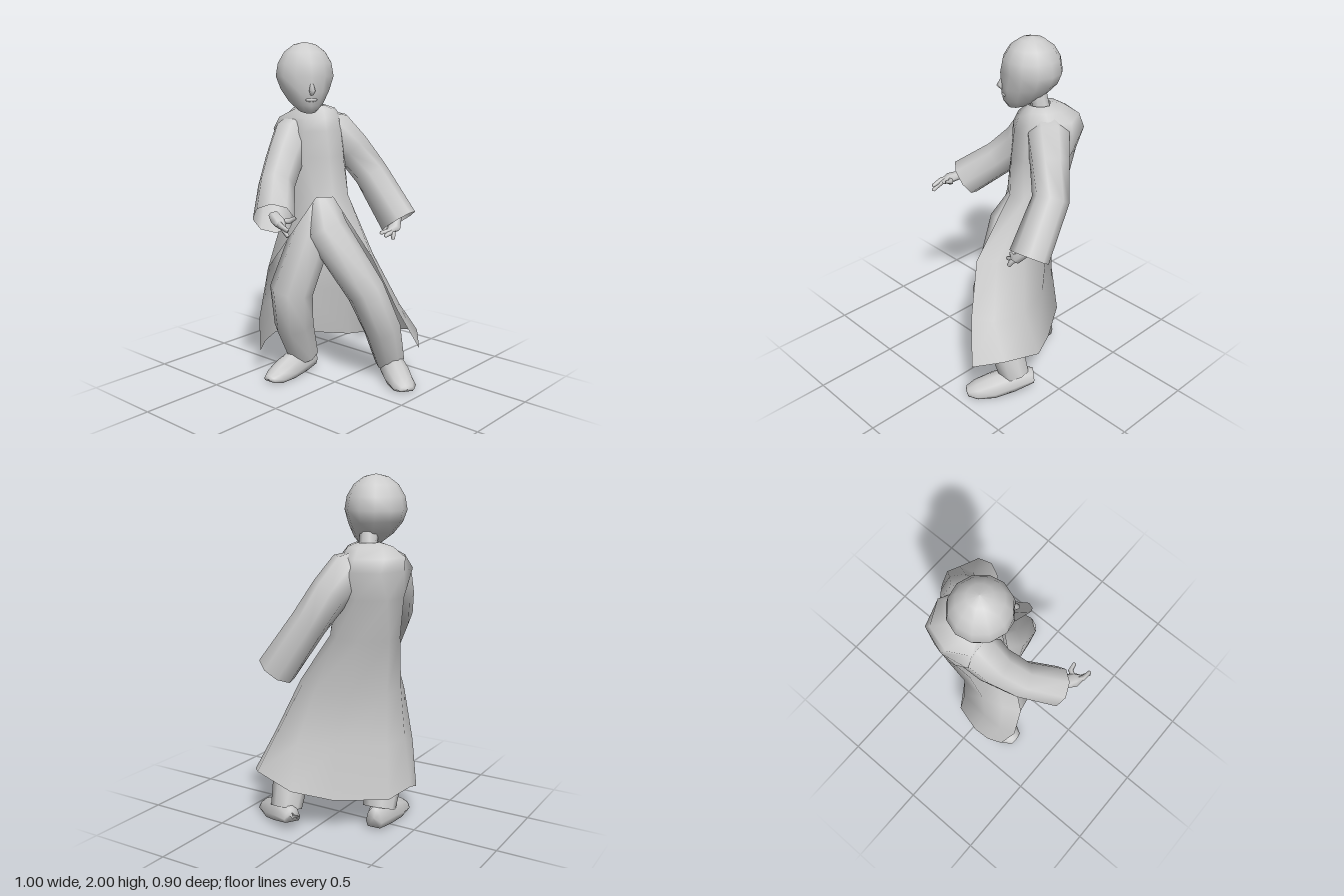
import * as THREE from 'three';

const mat = new THREE.MeshStandardMaterial({ color: 0xcccccc, side: THREE.DoubleSide });
const V = (x, y, z) => new THREE.Vector3(x, y, z);

function mesh(name, geometry) {
  const m = new THREE.Mesh(geometry, mat);
  m.name = name;
  return m;
}

// Skin a list of rings; wraps(row) tells whether a row closes on itself
function loft(name, rings, wraps = () => true) {
  const n = rings[0].length, idx = [];
  for (let r = 0; r < rings.length - 1; r++) {
    for (let c = 0; c < (wraps(r) ? n : n - 1); c++) {
      const a = r * n + c, b = r * n + (c + 1) % n;
      idx.push(a, b, b + n, a, b + n, a + n);
    }
  }
  const g = new THREE.BufferGeometry().setFromPoints(rings.flat());
  g.setIndex(idx);
  g.computeVertexNormals();
  return mesh(name, g);
}

// Tapered tube through stations [x, y, z, radius]
function limb(name, stations, sides = 8, flat = 1) {
  const pts = stations.map(([x, y, z]) => V(x, y, z));
  const whole = pts[pts.length - 1].clone().sub(pts[0]).normalize();
  const ref = Math.abs(whole.y) > 0.6 ? V(0.57, 0, 0.82) : V(0, 1, 0);
  const rings = stations.map((s, i) => {
    const t = pts[Math.min(i + 1, pts.length - 1)].clone().sub(pts[Math.max(i - 1, 0)]).normalize();
    const u = V(0, 0, 0).crossVectors(t, ref).normalize();
    const w = V(0, 0, 0).crossVectors(u, t);
    return Array.from({ length: sides }, (_, k) => {
      const a = (k / sides) * Math.PI * 2;
      return pts[i].clone()
        .addScaledVector(u, Math.cos(a) * s[3])
        .addScaledVector(w, Math.sin(a) * s[3] * flat);
    });
  });
  return loft(name, rings);
}

// Long coat: each row runs from the left front edge round the back to the right front edge
function coat() {
  const skirt = [
    [[0.23, 0.45], [0.37, 0.33], [0.4, 0.08], [0.28, -0.13], [0.11, -0.39], [-0.06, -0.44], [-0.16, -0.43], [-0.24, -0.39]],
    [[0.13, 0.36], [0.24, 0.29], [0.3, 0.1], [0.23, -0.12], [0.08, -0.36], [-0.1, -0.38], [-0.22, -0.37], [-0.3, -0.33]],
    [[0.05, 0.24], [0.14, 0.17], [0.22, 0.03], [0.2, -0.18], [0.07, -0.35], [-0.08, -0.36], [-0.2, -0.32], [-0.29, -0.26]],
  ];
  const skirtY = [
    [0.26, 0.31, 0.25, 0.2, 0.2, 0.23, 0.2, 0.17],
    [0.5, 0.5, 0.5, 0.5, 0.5, 0.5, 0.46, 0.4],
    [0.8, 0.8, 0.8, 0.8, 0.8, 0.8, 0.77, 0.72],
  ];
  const torso = [
    [1.12, [[0.03, -0.04], [0.15, -0.03], [0.22, -0.11], [0.24, -0.26], [0.13, -0.39], [-0.02, -0.38], [-0.1, -0.27], [-0.05, -0.1]]],
    [1.35, [[0.02, -0.06], [0.13, -0.05], [0.22, -0.12], [0.27, -0.26], [0.19, -0.41], [0.03, -0.425], [-0.08, -0.35], [-0.08, -0.16]]],
    [1.5, [[0.02, -0.08], [0.13, -0.07], [0.23, -0.13], [0.3, -0.25], [0.25, -0.4], [0.09, -0.455], [-0.06, -0.43], [-0.08, -0.17]]],
    [1.57, [[0.03, -0.1], [0.13, -0.09], [0.22, -0.15], [0.28, -0.26], [0.21, -0.4], [0.06, -0.445], [-0.06, -0.38], [-0.05, -0.18]]],
    [1.62, [[0.05, -0.13], [0.11, -0.12], [0.18, -0.16], [0.21, -0.24], [0.14, -0.35], [0.04, -0.36], [-0.02, -0.29], [0, -0.19]]],
    [1.64, [[0.05, -0.16], [0.09, -0.16], [0.13, -0.19], [0.14, -0.23], [0.1, -0.28], [0.05, -0.28], [0.01, -0.25], [0.01, -0.19]]],
  ];
  const rows = skirt.map((row, r) => row.map(([x, z], i) => V(x, skirtY[r][i], z)));
  torso.forEach(([y, row]) => rows.push(row.map(([x, z]) => V(x, y, z))));
  return loft('longCoat', rows, (r) => r >= 3);
}

// Shoe: rings from heel to toe, flat underneath; stations [distance, half width, sole, top]
function shoe(name, heel, toe, lift) {
  const a = V(heel[0], 0, heel[1]), dir = V(toe[0], 0, toe[1]).sub(a);
  const side = V(dir.z, 0, -dir.x).normalize();
  const stations = [[0, 0.001, 0.07, 0.07], [0.01, 0.05, 0.015, 0.13], [0.3, 0.08, 0.01, 0.16],
    [0.6, 0.085, 0, 0.12], [0.85, 0.075, 0, 0.075], [0.98, 0.045, 0.01, 0.045], [1, 0.001, 0.025, 0.025]];
  const outline = [[-0.8, 0], [0.8, 0], [1, 0.3], [0.75, 0.75], [0.25, 1], [-0.25, 1], [-0.75, 0.75], [-1, 0.3]];
  return loft(name, stations.map(([t, w, lo, hi]) => outline.map(([s, h]) => {
    const p = a.clone().addScaledVector(dir, t).addScaledVector(side, s * w);
    p.y = lo + (hi - lo) * h + lift * Math.max(0, 1 - t / 0.55) * (1 - h);
    return p;
  })));
}

// Head: coarse sphere reshaped into skull, narrow jaw and eye sockets
function head() {
  const g = new THREE.Group();
  g.name = 'head';
  const cols = 12, rows = 8;
  const skull = new THREE.SphereGeometry(1, cols, rows);
  const p = skull.attributes.position, n = skull.attributes.normal;
  for (let i = 0; i < p.count; i++) {
    const x = p.getX(i), y = p.getY(i), z = p.getZ(i);
    const t = Math.max(0, -y), front = (z + 1) / 2;
    const socket = z > 0.6 && y < 0.1 && y > -0.2 && Math.abs(x) > 0.2 && Math.abs(x) < 0.6 ? 0.012 : 0;
    p.setXYZ(i, x * 0.17 * (1 - 0.42 * t * front),
      y > 0 ? y * 0.19 : y * (0.14 + 0.08 * front + 0.03 * t),
      z * 0.174 + 0.07 * t * t - socket);
  }
  // Recompute normals, then average them over the sphere's seam
  skull.computeVertexNormals();
  for (let r = 0; r <= rows; r++) {
    const a = r * (cols + 1), b = a + cols;
    const s = V(n.getX(a) + n.getX(b), n.getY(a) + n.getY(b), n.getZ(a) + n.getZ(b)).normalize();
    n.setXYZ(a, s.x, s.y, s.z);
    n.setXYZ(b, s.x, s.y, s.z);
  }
  g.add(mesh('skull', skull));
  g.add(limb('nose', [[0, -0.03, 0.16, 0.008], [0, -0.075, 0.178, 0.018], [0, -0.095, 0.16, 0.012]], 6));
  const lips = mesh('lips', new THREE.SphereGeometry(1, 8, 6));
  lips.scale.set(0.035, 0.013, 0.014);
  lips.position.set(0, -0.127, 0.153);
  g.add(lips);
  g.position.set(0, 1.81, -0.23);
  g.rotation.y = -0.58;
  return g;
}

// Hand: tapered palm with fingers, each finger a path of knuckle and tip
function hand(name, wrist, palm, fingers) {
  const g = new THREE.Group();
  g.name = name;
  g.add(limb('palm', [[...wrist, 0.032], [...palm, 0.043], [...fingers[0][0], 0.022]], 6, 0.65));
  fingers.forEach(([knuckle, tip]) => {
    const end = tip.map((v, k) => v + (v - knuckle[k]) * 0.1);
    g.add(limb('finger', [[...palm, 0.016], [...knuckle, 0.016], [...tip, 0.011], [...end, 0.001]], 5));
  });
  return g;
}

export function createModel() {
  const model = new THREE.Group();
  model.name = 'robedFigure';
  model.add(coat(), head());
  model.add(limb('neck', [[0.08, 1.57, -0.23, 0.06], [0.07, 1.65, -0.225, 0.05], [0.04, 1.74, -0.22, 0.055]]));

  // Wide sleeves, the shoulder ends sunk into the coat
  model.add(limb('leftSleeve', [[0.12, 1.54, -0.23, 0.08], [0.19, 1.49, -0.175, 0.122], [0.27, 1.38, -0.105, 0.11],
    [0.36, 1.22, -0.025, 0.103], [0.39, 0.95, 0.165, 0.113]]));
  model.add(limb('rightSleeve', [[0.06, 1.53, -0.31, 0.09], [-0.02, 1.46, -0.305, 0.125], [-0.12, 1.33, -0.285, 0.113],
    [-0.245, 1.2, -0.225, 0.106], [-0.405, 1.055, -0.09, 0.115]]));

  // Hands
  model.add(hand('leftHand', [0.39, 0.99, 0.15], [0.32, 0.92, 0.18], [
    [[0.28, 0.91, 0.18], [0.235, 0.9, 0.15]],
    [[0.28, 0.9, 0.19], [0.24, 0.885, 0.18]],
    [[0.29, 0.89, 0.2], [0.28, 0.865, 0.21]]]));
  model.add(hand('rightHand', [-0.41, 1.08, -0.08], [-0.455, 1.06, 0], [
    [[-0.475, 1.04, 0.04], [-0.49, 1.0, 0.1]],
    [[-0.485, 1.05, 0.04], [-0.49, 1.03, 0.1]],
    [[-0.405, 1.06, 0.03], [-0.4, 1.08, 0.07]]]));

  // Trousers
  model.add(limb('leftLeg', [[0.06, 1.15, -0.18, 0.08], [0.01, 0.92, -0.07, 0.125], [0.09, 0.58, 0.16, 0.115],
    [0.21, 0.33, 0.19, 0.112], [0.3, 0.1, 0.18, 0.09]]));
  model.add(limb('rightLeg', [[0.04, 1.15, -0.2, 0.08], [0, 0.92, -0.17, 0.125], [-0.14, 0.56, -0.22, 0.13],
    [-0.07, 0.33, -0.27, 0.12], [0.025, 0.1, -0.285, 0.095]]));

  // Shoes
  model.add(shoe('leftShoe', [0.37, 0.09], [0.15, 0.43], 0.04));
  model.add(shoe('rightShoe', [0.12, -0.3], [-0.28, -0.28], 0));
  return model;
}
